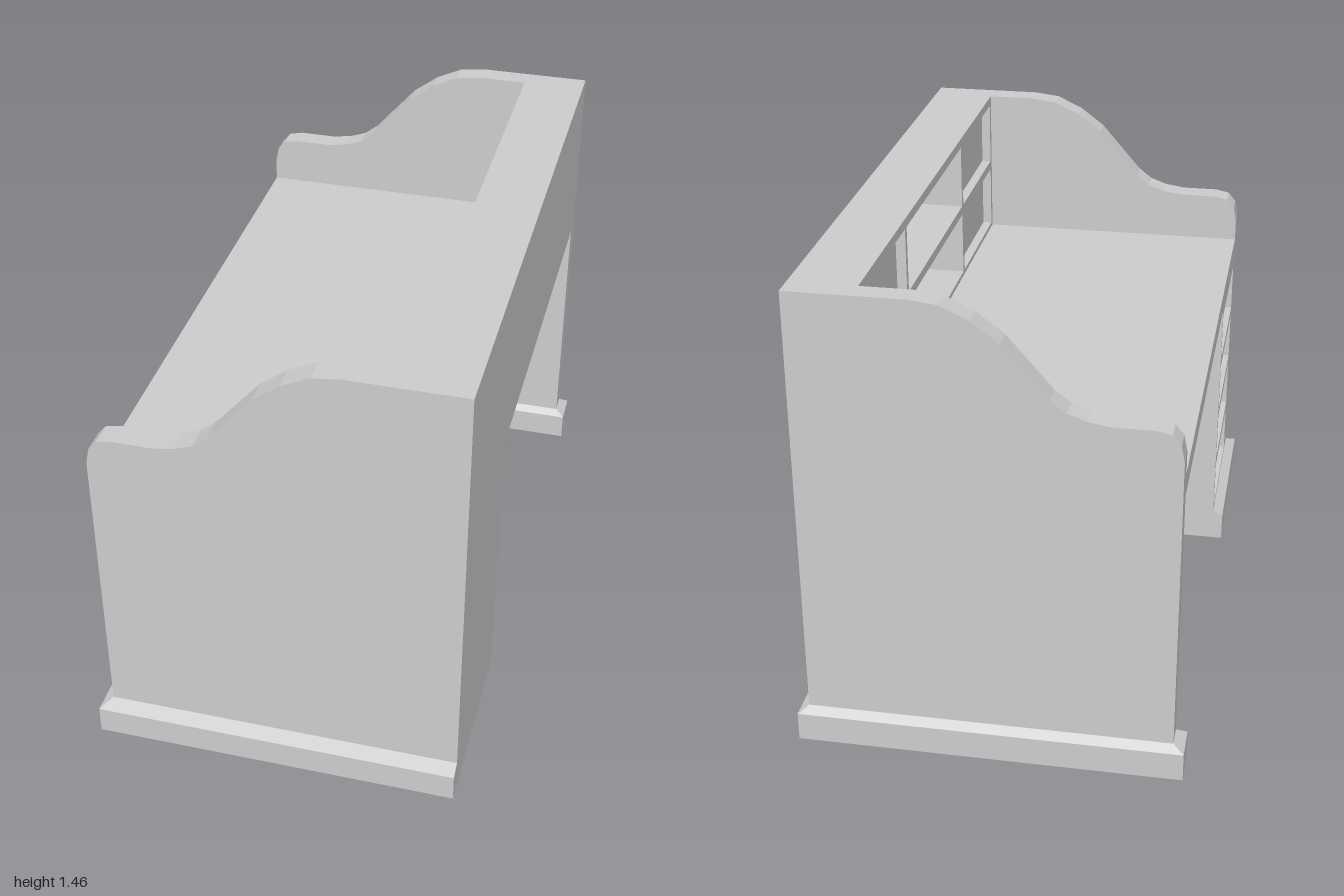
import * as THREE from 'three';
import { ConvexGeometry } from 'three/addons/geometries/ConvexGeometry.js';

export function createModel() {
  const desk = new THREE.Group();
  desk.name = 'writingDesk';
  const material = new THREE.MeshStandardMaterial({ color: 0xcccccc, flatShading: true });

  const add = (name, geometry) => {
    const mesh = new THREE.Mesh(geometry, material);
    mesh.name = name;
    desk.add(mesh);
    return mesh;
  };

  // Box given by its limits on each axis
  const box = (name, [x0, x1], [y0, y1], [z0, z1]) => {
    const g = new THREE.BoxGeometry(x1 - x0, y1 - y0, z1 - z0);
    g.translate((x0 + x1) / 2, (y0 + y1) / 2, (z0 + z1) / 2);
    return add(name, g);
  };

  // Face frame in the z-y plane with rectangular openings [z0, z1, y0, y1]
  const frame = (name, x, depth, outer, openings) => {
    const corners = ([z0, z1, y0, y1]) =>
      [[-z1, y0], [-z0, y0], [-z0, y1], [-z1, y1]].map(([u, v]) => new THREE.Vector2(u, v));
    const shape = new THREE.Shape(corners(outer));
    shape.holes = openings.map((o) => new THREE.Path(corners(o).reverse()));
    const g = new THREE.ExtrudeGeometry(shape, { depth, bevelEnabled: false });
    g.rotateY(Math.PI / 2);
    g.translate(x, 0, 0);
    return add(name, g);
  };

  // Plinth: straight sides with a bevel leading in to the upper rectangle
  const plinth = (name, lower, upper) => {
    const ring = ([x0, x1, z0, z1], y) =>
      [[x0, z0], [x1, z0], [x1, z1], [x0, z1]].map(([x, z]) => new THREE.Vector3(x, y, z));
    return add(name, new ConvexGeometry([...ring(lower, 0), ...ring(lower, 0.09), ...ring(upper, 0.11)]));
  };

  const front = -0.55, back = 0.55, hutch = 0.35, recess = 0.03;
  const innerR = -0.906, innerL = 0.88;

  // Side panels with the sweeping top edge
  const profile = [
    [front, 0.11], [back, 0.11], [back, 1.46], [0.2, 1.46], [0.115, 1.45], [0.03, 1.41],
    [-0.05, 1.35], [-0.185, 1.195], [-0.23, 1.16], [-0.285, 1.14], [-0.35, 1.13],
    [-0.47, 1.13], [-0.515, 1.12], [-0.54, 1.09], [front, 1.04],
  ].map(([x, y]) => new THREE.Vector2(x, y));
  for (const [name, z0, z1] of [['openSidePanel', -0.975, innerR], ['pedestalSidePanel', innerL, 0.957]]) {
    const g = new THREE.ExtrudeGeometry(new THREE.Shape(profile), { depth: z1 - z0, bevelEnabled: false });
    g.translate(0, 0, z0);
    add(name, g);
  }

  // Plinths under the open side and the pedestal
  plinth('openSidePlinth', [-0.583, 0.58, -1, -0.885], [front, back, -0.975, innerR]);
  plinth('pedestalPlinth', [-0.583, back, 0.39, 1], [front, back, 0.39, 0.957]);

  // Work surface
  box('desktop', [front, back], [0.9, 0.97], [innerR, innerL]);

  // Pedestal with four recessed drawer fronts
  box('pedestalBody', [front + recess, back], [0.11, 0.9], [0.39, innerL]);
  const drawers = [];
  for (let i = 0; i < 4; i++) drawers.push([0.41, 0.86, 0.125 + i * 0.194, 0.29 + i * 0.194]);
  frame('drawerFrame', front, recess, [0.39, innerL, 0.11, 0.9], drawers);

  // Hutch: three bays of two, the middle ones deep and the outer ones shallow
  const rows = [[0.985, 1.193], [1.223, 1.43]];
  const bays = [[innerR + 0.02, -0.395], [-0.375, 0.375], [0.395, innerL - 0.02]];
  frame('hutchFrame', hutch, recess, [innerR, innerL, 0.97, 1.46],
    bays.flatMap((b) => rows.map((r) => [...b, ...r])));
  box('hutchBack', [0.53, back], [0.97, 1.46], [innerR, innerL]);
  const deep = [hutch + recess, 0.53];
  box('rightBayBlock', deep, [0.97, 1.46], [innerR, -0.375]);
  box('leftBayBlock', deep, [0.97, 1.46], [0.375, innerL]);
  for (const [name, y0, y1] of [['cubbyFloor', 0.97, 0.985], ['cubbyShelf', 1.193, 1.223], ['hutchTop', 1.43, 1.46]])
    box(name, deep, [y0, y1], [-0.375, 0.375]);

  return desk;
}
